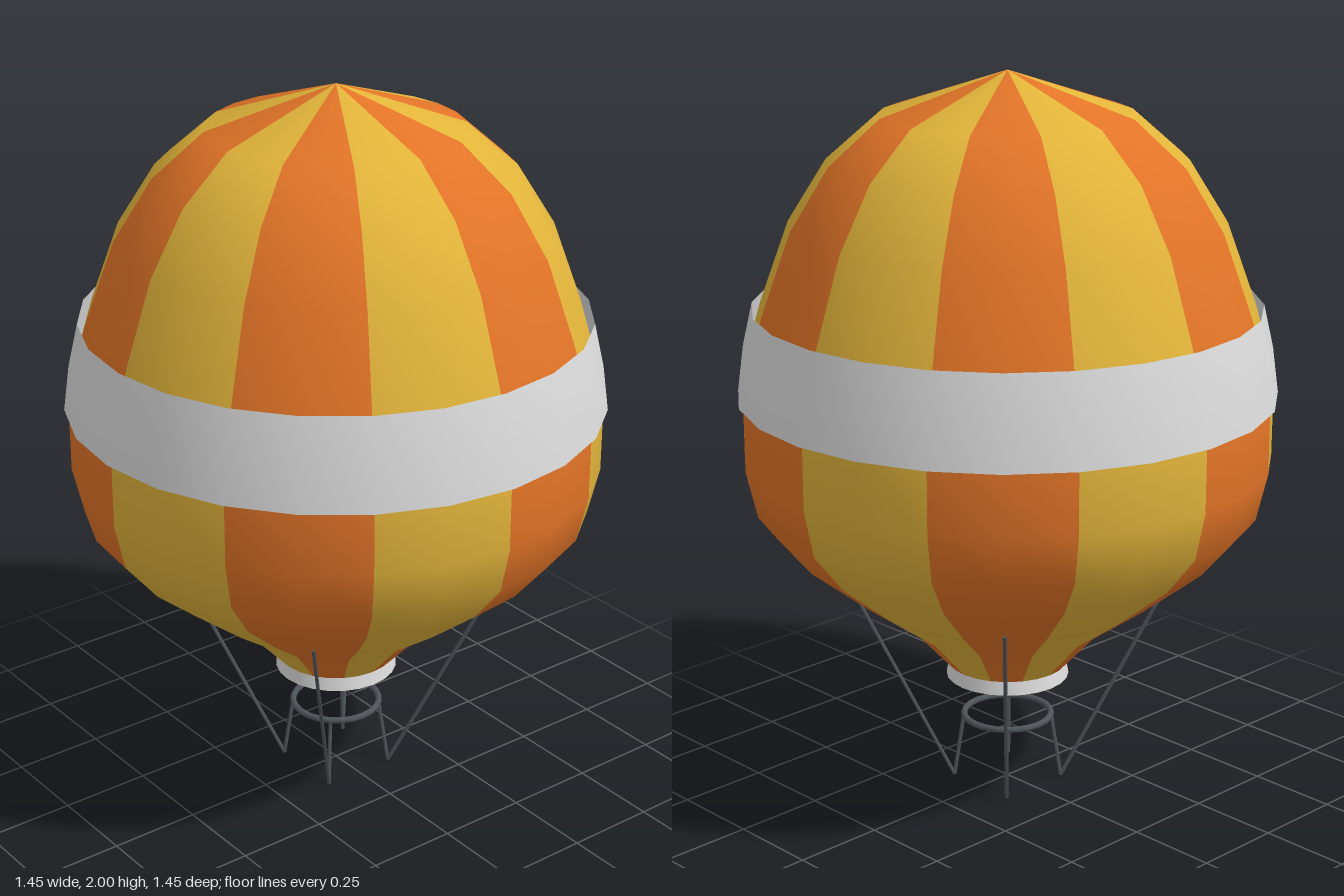
import * as THREE from 'three';

const material = (name, color, side = THREE.FrontSide) => {
  const m = new THREE.MeshStandardMaterial({ color, side });
  m.name = name;
  return m;
};

const points = (list) => list.map(([r, y]) => new THREE.Vector2(r, y));

// Straight rod between two points
function rod(name, a, b, radius, mat) {
  const path = new THREE.LineCurve3(a, b);
  const mesh = new THREE.Mesh(new THREE.CylinderGeometry(radius, radius, path.getLength(), 6), mat);
  mesh.name = name;
  mesh.position.copy(path.getPoint(0.5));
  mesh.quaternion.setFromUnitVectors(new THREE.Vector3(0, 1, 0), path.getTangent(0));
  return mesh;
}

export function createModel() {
  const yellow = material('yellow fabric', 0xe2b43a);
  const orange = material('orange fabric', 0xe27427);
  const white = material('pale grey fabric', 0xdcdcdc, THREE.DoubleSide);
  const rope = material('dark grey rope', 0x50555b);

  const model = new THREE.Group();
  model.name = 'hotAirBalloon';

  // Envelope: twelve gores in alternating colours
  const profile = points([
    [0.165, 0.355], [0.27, 0.47], [0.415, 0.575], [0.59, 0.715], [0.685, 0.83], [0.715, 0.96],
    [0.715, 1.13], [0.695, 1.26], [0.66, 1.38], [0.58, 1.6], [0.477, 1.765], [0.34, 1.885], [0, 2],
  ]);
  const envelope = new THREE.Group();
  envelope.name = 'envelope';
  const gores = 12;
  const step = (Math.PI * 2) / gores;
  for (let i = 0; i < gores; i++) {
    const gore = new THREE.Mesh(
      new THREE.LatheGeometry(profile, 2, i * step, step), i % 2 ? orange : yellow);
    gore.name = `gore${i + 1}`;
    envelope.add(gore);
  }
  model.add(envelope);

  // Open band around the widest part
  const band = new THREE.Mesh(
    new THREE.LatheGeometry(points([[0.727, 1.135], [0.71, 1.26], [0.683, 1.377]]), 24), white);
  band.name = 'band';
  model.add(band);

  // Skirt at the mouth, closed by a disc
  const skirt = new THREE.Mesh(
    new THREE.LatheGeometry(points([[0.17, 0.317], [0.167, 0.335], [0.163, 0.358]]), 24), white);
  skirt.name = 'skirt';
  const mouth = new THREE.Mesh(new THREE.CircleGeometry(0.163, 24), white);
  mouth.name = 'mouth';
  mouth.rotation.x = Math.PI / 2;
  mouth.position.y = 0.355;
  model.add(skirt, mouth);

  // Carrying ring
  const ring = new THREE.Mesh(new THREE.TorusGeometry(0.122, 0.009, 8, 24), rope);
  ring.name = 'ring';
  ring.rotation.x = Math.PI / 2;
  ring.position.y = 0.194;
  model.add(ring);

  // Four long ropes, each with a short stay up to the ring
  for (const sx of [-1, 1]) {
    for (const sz of [-1, 1]) {
      const corner = (r, y) => new THREE.Vector3(sx * r, y, sz * r);
      model.add(rod('rope', corner(0.106, 0.004), corner(0.32, 0.605), 0.0055, rope));
      model.add(rod('stay', corner(0.106, 0.004), corner(0.086, 0.194), 0.0055, rope));
    }
  }
  return model;
}
